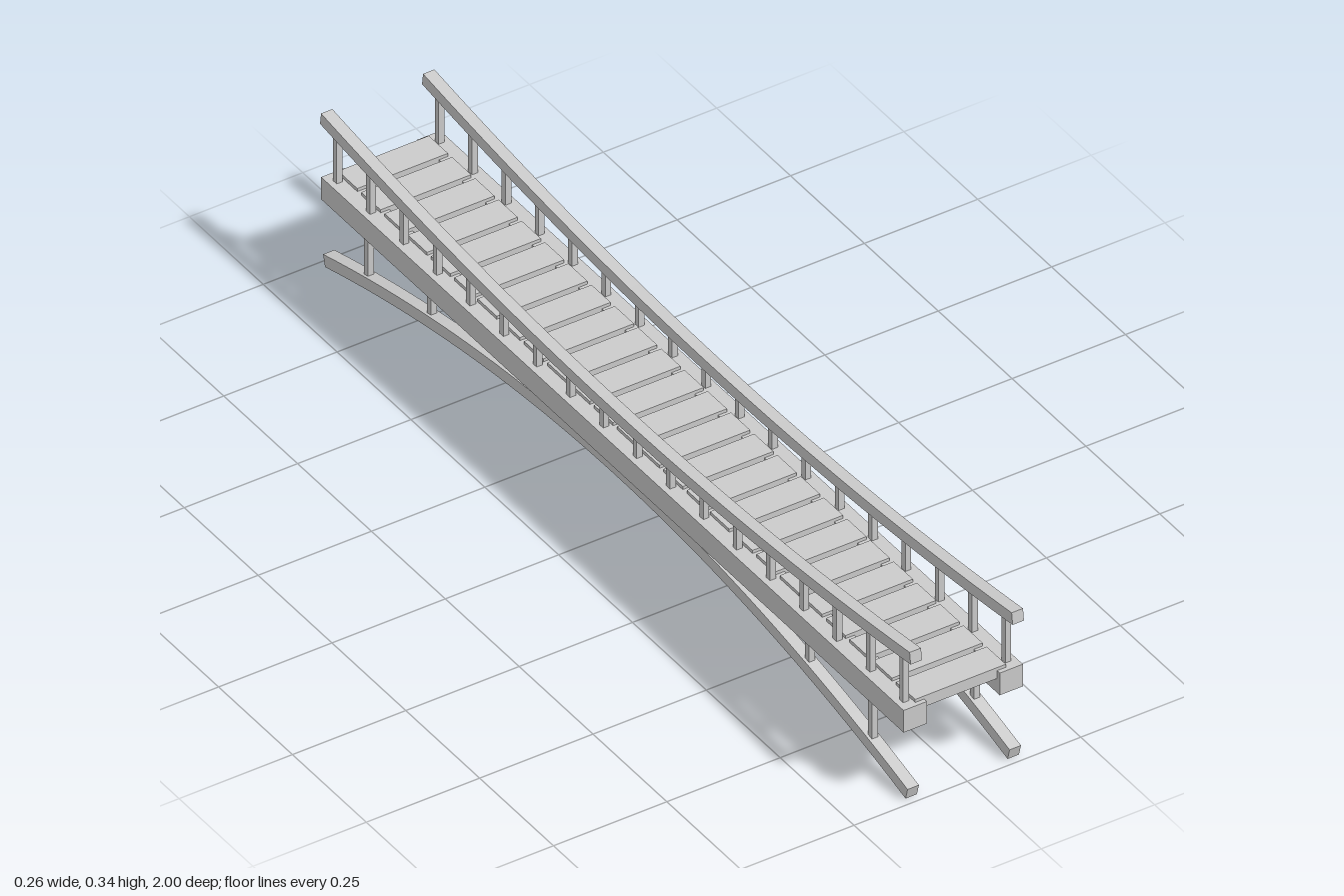
import * as THREE from 'three';

const material = new THREE.MeshStandardMaterial({ color: 0xcccccc });
const SIDE_X = 0.1125; // centre line of rails, posts and arches

function box(name, w, h, d, x, y, z) {
  const mesh = new THREE.Mesh(new THREE.BoxGeometry(w, h, d), material);
  mesh.name = name;
  mesh.position.set(x, y, z);
  return mesh;
}

// Parabola: height mid at z = 0, changing by rise at z = half
const parabola = (mid, rise, half) => ({
  half,
  y: (z) => mid + rise * (z / half) ** 2,
  slope: (z) => (2 * rise * z) / half ** 2,
});

const railCurve = parabola(0.2675, 0.065, 0.998);
const archCurve = parabola(0.1465, -0.1335, 0.986);

// Bar of rectangular section following a curve, with ends cut square to it
function curvedBar(name, curve, width, thick, x) {
  const segments = 40;
  const top = [], bottom = [];
  for (let i = 0; i <= segments; i++) {
    const z = curve.half * ((2 * i) / segments - 1);
    const normal = new THREE.Vector2(-curve.slope(z), 1).setLength(thick / 2);
    const centre = new THREE.Vector2(z, curve.y(z));
    top.push(centre.clone().add(normal));
    bottom.push(centre.clone().sub(normal));
  }
  const shape = new THREE.Shape([...bottom, ...top.reverse()]);
  const geometry = new THREE.ExtrudeGeometry(shape, { depth: width, bevelEnabled: false });
  geometry.rotateY(-Math.PI / 2).translate(x + width / 2, 0, 0);
  const mesh = new THREE.Mesh(geometry, material);
  mesh.name = name;
  return mesh;
}

// Upright spanning from y0 to y1
const upright = (name, x, y0, y1, z) =>
  box(name, 0.013, y1 - y0, 0.013, x, (y0 + y1) / 2, z);

function createSide(sign) {
  const side = new THREE.Group();
  side.name = sign > 0 ? 'leftSide' : 'rightSide';
  const x = sign * SIDE_X;

  side.add(box('deckBeam', 0.051, 0.051, 1.972, sign * 0.106, 0.1825, 0));
  side.add(curvedBar('handrail', railCurve, 0.025, 0.026, x));
  side.add(curvedBar('supportArch', archCurve, 0.025, 0.026, x));

  // Railing posts
  const posts = 18;
  for (let i = 0; i < posts; i++) {
    const z = -0.959 + (1.918 * i) / (posts - 1);
    side.add(upright('railPost', x, 0.2, railCurve.y(z) - 0.008, z));
  }

  // Struts between arch and beam
  for (const z of [-0.853, -0.64, 0.64, 0.853]) {
    side.add(upright('archStrut', x, archCurve.y(z) + 0.008, 0.165, z));
  }
  return side;
}

export function createModel() {
  const bridge = new THREE.Group();
  bridge.name = 'footbridge';
  bridge.add(createSide(1), createSide(-1));

  // Deck planks
  const deck = new THREE.Group();
  deck.name = 'deck';
  for (let i = -12; i <= 12; i++) {
    deck.add(box('plank', 0.2, 0.025, 0.065, 0, 0.2025, i * 0.0787));
  }
  bridge.add(deck);
  return bridge;
}
